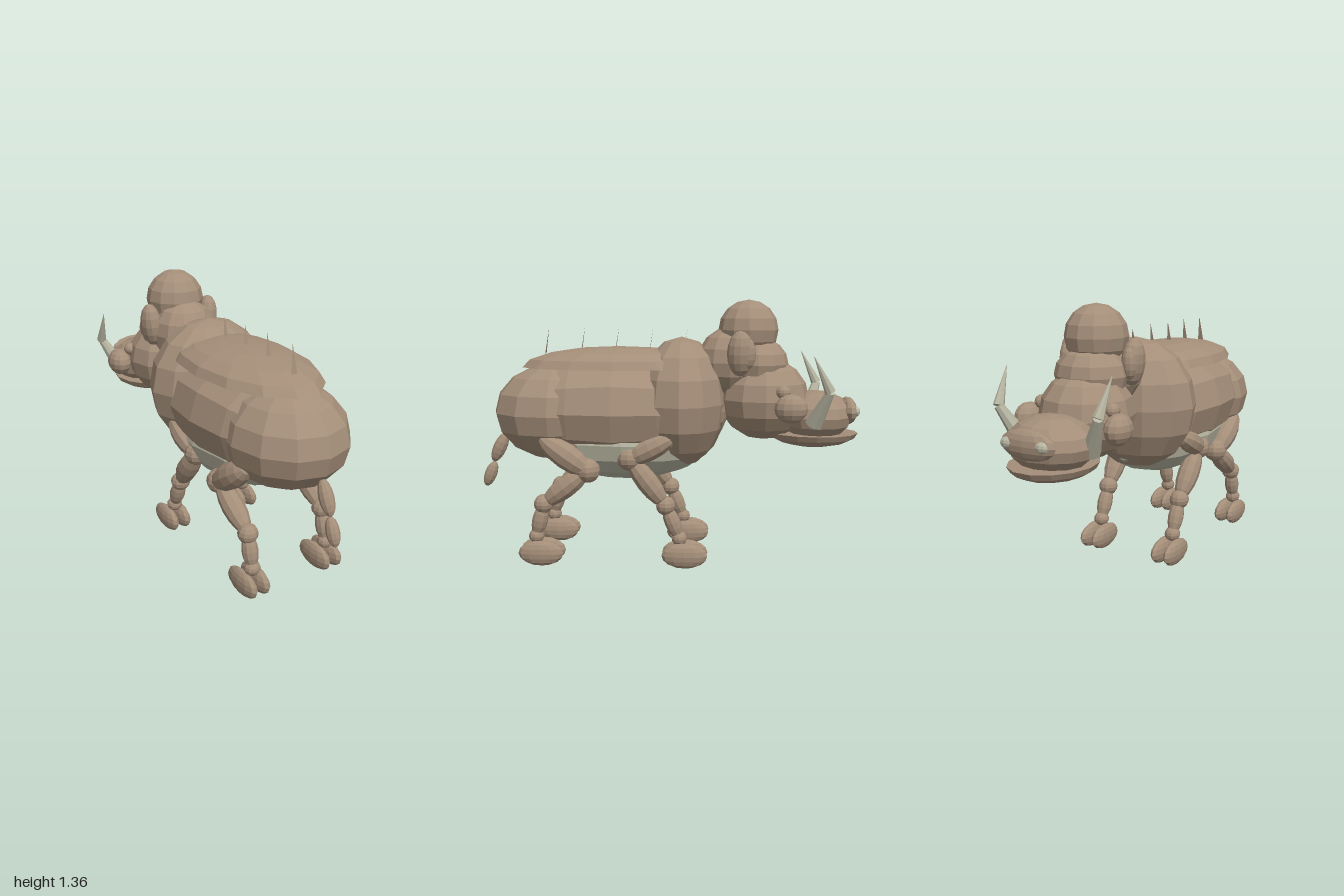
import * as THREE from 'three';

export function createModel() {
  const root = new THREE.Group();
  root.name = 'tuskedBeast';
  const hide = new THREE.MeshStandardMaterial({ name: 'brownHide', color: 0xa48e79, flatShading: true });
  const pale = new THREE.MeshStandardMaterial({ name: 'paleBone', color: 0xb7b5a1, flatShading: true });
  const thin = new THREE.MeshStandardMaterial({ name: 'brownBristle', color: 0xa48e79, flatShading: true, side: THREE.DoubleSide });

  const add = (name, geo, mat, parent = root) => {
    const mesh = new THREE.Mesh(geo, mat);
    mesh.name = name;
    parent.add(mesh);
    return mesh;
  };
  // faceted ellipsoid: centre, radii
  const blob = (name, c, r, mat = hide, parent = root, seg = 12, rows = 8) => {
    const mesh = add(name, new THREE.SphereGeometry(1, seg, rows), mat, parent);
    mesh.position.set(...c);
    mesh.scale.set(...r);
    return mesh;
  };
  const UP = new THREE.Vector3(0, 1, 0);
  // place a y-aligned mesh between two points
  const align = (mesh, a, b) => {
    const p = new THREE.Vector3(...a), q = new THREE.Vector3(...b);
    mesh.position.copy(p).add(q).multiplyScalar(0.5);
    mesh.quaternion.setFromUnitVectors(UP, q.sub(p).normalize());
    return mesh;
  };
  const span = (a, b) => new THREE.Vector3(...a).distanceTo(new THREE.Vector3(...b));
  // ellipsoid stretched from point a to point b
  const limb = (name, a, b, r, parent = root) =>
    align(blob(name, [0, 0, 0], [r, span(a, b) / 2, r], hide, parent, 10), a, b);
  const cone = (name, a, b, r0, r1, mat, parent) =>
    align(add(name, new THREE.CylinderGeometry(r1, r0, span(a, b), 8), mat, parent), a, b);

  // Body
  blob('rump', [0, 0.775, 0.58], [0.3, 0.257, 0.34]);
  const barrel = blob('barrel', [0, 0.79, 0.26], [0.325, 0.6, 0.28]);
  barrel.rotation.x = Math.PI / 2;
  blob('shoulders', [0, 0.83, -0.08], [0.335, 0.34, 0.24]);
  blob('belly', [0, 0.63, 0.21], [0.28, 0.21, 0.46], pale);

  // Domed back shield with a flat underside
  const shield = new THREE.Group();
  shield.name = 'backShield';
  shield.position.set(0, 1.01, 0.25);
  shield.scale.set(0.285, 0.11, 0.515);
  root.add(shield);
  add('shieldDome', new THREE.SphereGeometry(1, 14, 4, 0, Math.PI * 2, 0, Math.PI / 2), hide, shield);
  add('shieldUnderside', new THREE.CircleGeometry(1, 14), hide, shield).rotation.x = Math.PI / 2;

  // Thin bristles along the spine
  const tri = new THREE.Shape([
    new THREE.Vector2(-0.017, -0.07), new THREE.Vector2(0.017, -0.07), new THREE.Vector2(0, 0.07),
  ]);
  const bristleGeo = new THREE.ShapeGeometry(tri);
  for (const z of [-0.1, 0.08, 0.26, 0.44, 0.63]) {
    const bristle = add('spineBristle', bristleGeo, thin);
    bristle.position.set(0, 1.15, z);
    bristle.rotation.x = -0.15;
  }

  // Neck, hump and head
  blob('neck', [0, 1.04, -0.33], [0.175, 0.18, 0.17]);
  blob('crown', [0, 1.205, -0.425], [0.155, 0.155, 0.155]);
  blob('brow', [0, 1.03, -0.47], [0.185, 0.14, 0.165]);
  blob('face', [0, 0.85, -0.51], [0.23, 0.215, 0.235]);
  blob('upperSnout', [0, 0.765, -0.78], [0.22, 0.13, 0.19]);
  blob('nose', [0, 0.79, -0.945], [0.15, 0.07, 0.045]);

  // Lower jaw: bottom half of an ellipsoid with a flat top
  const jaw = new THREE.Group();
  jaw.name = 'lowerJaw';
  jaw.position.set(0, 0.675, -0.77);
  jaw.scale.set(0.2, 0.075, 0.23);
  root.add(jaw);
  add('jawBowl', new THREE.SphereGeometry(1, 14, 4, 0, Math.PI * 2, Math.PI / 2, Math.PI / 2), hide, jaw);
  add('jawTop', new THREE.CircleGeometry(1, 14), hide, jaw).rotation.x = -Math.PI / 2;

  // Tail
  limb('tailUpper', [0, 0.655, 0.865], [0, 0.495, 0.94], 0.036);
  limb('tailTip', [0, 0.495, 0.932], [0, 0.36, 0.985], 0.033);

  // Leg joints as [x, y, z]; the two pairs bend in opposite directions
  const legs = {
    rearLeg: { hip: [0.24, 0.67, 0.63], knee: [0.235, 0.5, 0.385], hock: [0.225, 0.32, 0.62],
      ankle: [0.225, 0.15, 0.66], hoofZ: 0.633, start: [0.24, 0.48, 0.36], r: 0.068 },
    frontLeg: { hip: [0.24, 0.68, -0.06], knee: [0.235, 0.565, 0.175], hock: [0.225, 0.32, -0.01],
      ankle: [0.225, 0.15, -0.08], hoofZ: -0.107, start: [0.24, 0.55, 0.2], r: 0.06 },
  };

  for (const s of [1, -1]) {
    const side = s > 0 ? 'left' : 'right';
    const m = ([x, y, z]) => [s * x, y, z];

    // Ears, cheek warts, eyes and nostrils
    const ear = blob(side + 'Ear', m([0.175, 1.09, -0.38]), [0.055, 0.115, 0.067]);
    ear.rotation.z = -s * 0.1;
    blob(side + 'InnerEar', m([0.18, 1.09, -0.415]), [0.038, 0.08, 0.042]);
    blob(side + 'CheekWart', m([0.255, 0.825, -0.63]), [0.062, 0.073, 0.083]);
    blob(side + 'Eye', m([0.2, 0.9, -0.595]), [0.036, 0.034, 0.038]);
    blob(side + 'Nostril', m([0.095, 0.795, -0.972]), [0.034, 0.026, 0.022], pale, root, 8, 6);

    // Tusk
    const tusk = new THREE.Group();
    tusk.name = side + 'Tusk';
    root.add(tusk);
    const bend = m([0.275, 0.91, -0.815]);
    cone('tuskBase', m([0.19, 0.74, -0.75]), bend, 0.045, 0.022, pale, tusk);
    cone('tuskTip', bend, m([0.292, 1.085, -0.73]), 0.027, 0.001, pale, tusk);

    // Legs
    for (const [name, l] of Object.entries(legs)) {
      const leg = new THREE.Group();
      leg.name = side + name[0].toUpperCase() + name.slice(1);
      root.add(leg);
      limb('thigh', m(l.hip), m(l.start), l.r, leg);
      blob('knee', m(l.knee), [0.063, 0.063, 0.063], hide, leg, 10);
      limb('shank', m(l.knee), m(l.hock), 0.057, leg);
      blob('hock', m(l.hock), [0.052, 0.05, 0.05], hide, leg, 10);
      limb('cannon', m(l.hock), m(l.ankle), 0.041, leg);
      blob('ankle', m(l.ankle), [0.042, 0.038, 0.04], hide, leg, 10);
      for (const dx of [-0.037, 0.037])
        blob('hoof', [s * 0.223 + dx, 0.067, l.hoofZ], [0.034, 0.066, 0.117], hide, leg, 12);
    }
  }
  return root;
}
